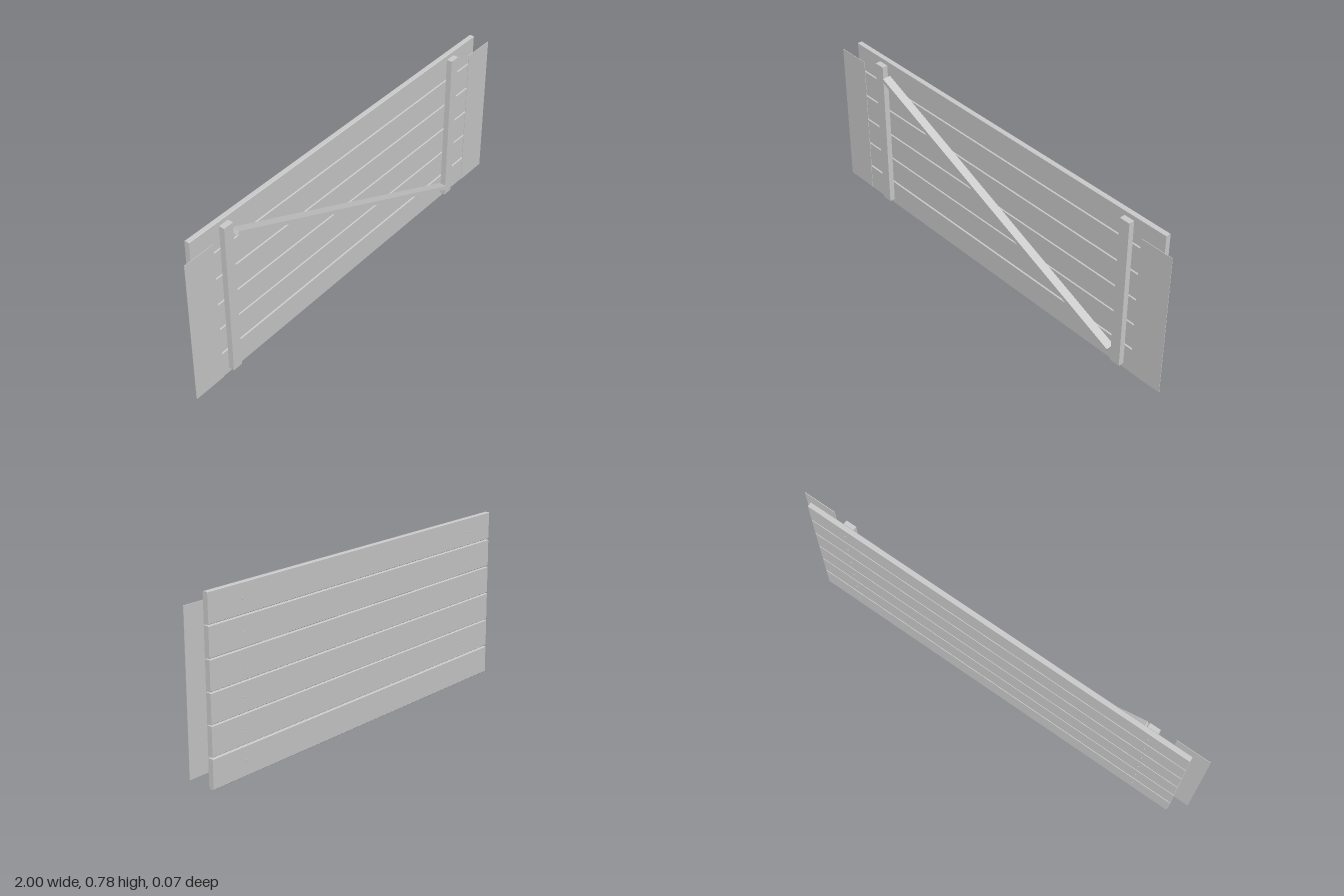
import * as THREE from 'three';

export function createModel() {
  const model = new THREE.Group();
  model.name = 'plankPanel';
  const grey = new THREE.MeshStandardMaterial({ color: 0xcccccc });
  grey.name = 'plain grey';

  const add = (name, geometry, x, y, z) => {
    const mesh = new THREE.Mesh(geometry, grey);
    mesh.name = name;
    mesh.position.set(x, y, z);
    model.add(mesh);
    return mesh;
  };

  // Plank cross-section with small chamfers, extruded along x
  const h = 0.0628, d = 0.0115, c = 0.002;
  const section = new THREE.Shape([
    [-d + c, -h], [d - c, -h], [d, -h + c], [d, h - c],
    [d - c, h], [-d + c, h], [-d, h - c], [-d, -h + c],
  ].map(([x, y]) => new THREE.Vector2(x, y)));
  const plank = new THREE.ExtrudeGeometry(section, { depth: 1.866, bevelEnabled: false });
  plank.translate(0, 0, -0.933).rotateY(Math.PI / 2);

  const nail = new THREE.CylinderGeometry(0.004, 0.004, 0.006, 8).rotateX(Math.PI / 2);

  // Six horizontal planks with a nail head at each end on the back
  for (let i = 0; i < 6; i++) {
    const y = 0.0648 + i * 0.1304;
    add('plank', plank, 0, i === 0 ? h : y, -0.0175);
    for (const side of [-1, 1]) add('nailHead', nail, side * 0.748, y, -0.029);
  }

  // Upright battens and thin end sheets, mirrored
  const batten = new THREE.BoxGeometry(0.05, 0.733, 0.026);
  const sheet = new THREE.BoxGeometry(0.157, 0.685, 0.002);
  for (const side of [-1, 1]) {
    add('batten', batten, side * 0.747, 0.3905, 0.007);
    add('endSheet', sheet, side * 0.9215, 0.391, 0.029);
  }

  // Diagonal brace between the battens
  const brace = add('diagonalBrace', new THREE.BoxGeometry(1.553, 0.018, 0.04), 0, 0.39, 0.014);
  brace.rotation.z = -Math.atan2(0.3138, 0.7104);

  return model;
}
